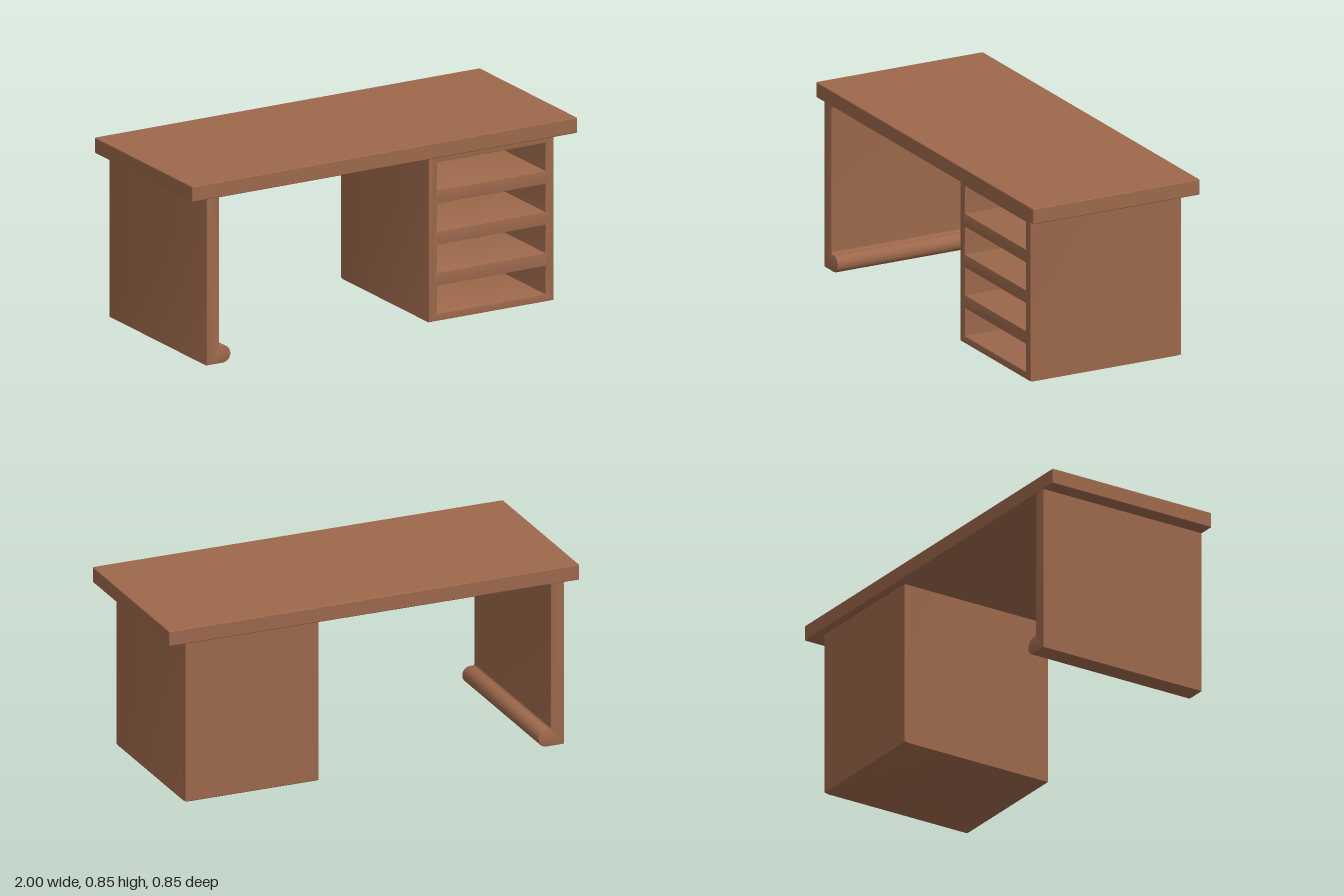
import * as THREE from 'three';
import { toCreasedNormals } from 'three/addons/utils/BufferGeometryUtils.js';
import { RoundedBoxGeometry } from 'three/addons/geometries/RoundedBoxGeometry.js';

const BEVEL = 0.005;

// Extrude a profile along z so that its bevelled ends lie exactly at z0 and z1
function extrudeBetween(shape, z0, z1) {
  const geometry = new THREE.ExtrudeGeometry(shape, {
    depth: z1 - z0 - 2 * BEVEL,
    bevelEnabled: true,
    bevelThickness: BEVEL,
    bevelSize: BEVEL,
    bevelOffset: -BEVEL,
    bevelSegments: 2,
    curveSegments: 14,
  });
  geometry.translate(0, 0, z0 + BEVEL);
  return toCreasedNormals(geometry, 0.6);
}

function rectangle(path, x0, y0, x1, y1) {
  path.moveTo(x0, y0);
  path.lineTo(x1, y0);
  path.lineTo(x1, y1);
  path.lineTo(x0, y1);
  path.closePath();
  return path;
}

export function createModel() {
  const desk = new THREE.Group();
  desk.name = 'desk';
  const wood = new THREE.MeshStandardMaterial({ color: 0x9c684b });
  wood.name = 'brown wood';

  function add(name, geometry, parent, x = 0, y = 0, z = 0) {
    const mesh = new THREE.Mesh(geometry, wood);
    mesh.name = name;
    mesh.position.set(x, y, z);
    parent.add(mesh);
  }

  // Desktop slab
  add('desktop', new RoundedBoxGeometry(2, 0.073, 0.85, 2, BEVEL), desk, 0, 0.8135, 0);

  // Side panel with a rounded foot rail and small fillets at both inner corners
  const panel = new THREE.Shape();
  panel.moveTo(-0.925, 0);
  panel.lineTo(-0.84, 0);
  panel.absarc(-0.84, 0.04, 0.04, -Math.PI / 2, Math.PI / 2, false);
  panel.lineTo(-0.85, 0.08);
  panel.quadraticCurveTo(-0.86, 0.08, -0.86, 0.09);
  panel.lineTo(-0.86, 0.768);
  panel.quadraticCurveTo(-0.86, 0.777, -0.851, 0.779);
  panel.lineTo(-0.925, 0.779);
  panel.closePath();
  add('sidePanel', extrudeBetween(panel, -0.425, 0.425), desk);

  // Cabinet with four deep open compartments
  const cabinet = new THREE.Group();
  cabinet.name = 'cabinet';
  desk.add(cabinet);
  const body = rectangle(new THREE.Shape(), 0.253, 0, 0.903, 0.779);
  for (let i = 0; i < 4; i++) {
    const y = 0.035 + i * 0.192;
    body.holes.push(rectangle(new THREE.Path(), 0.298, y, 0.858, y + 0.13));
  }
  add('cabinetBody', extrudeBetween(body, -0.37, 0.385), cabinet);
  add('cabinetBack', new RoundedBoxGeometry(0.65, 0.779, 0.04, 2, BEVEL), cabinet, 0.578, 0.3895, -0.365);

  return desk;
}
